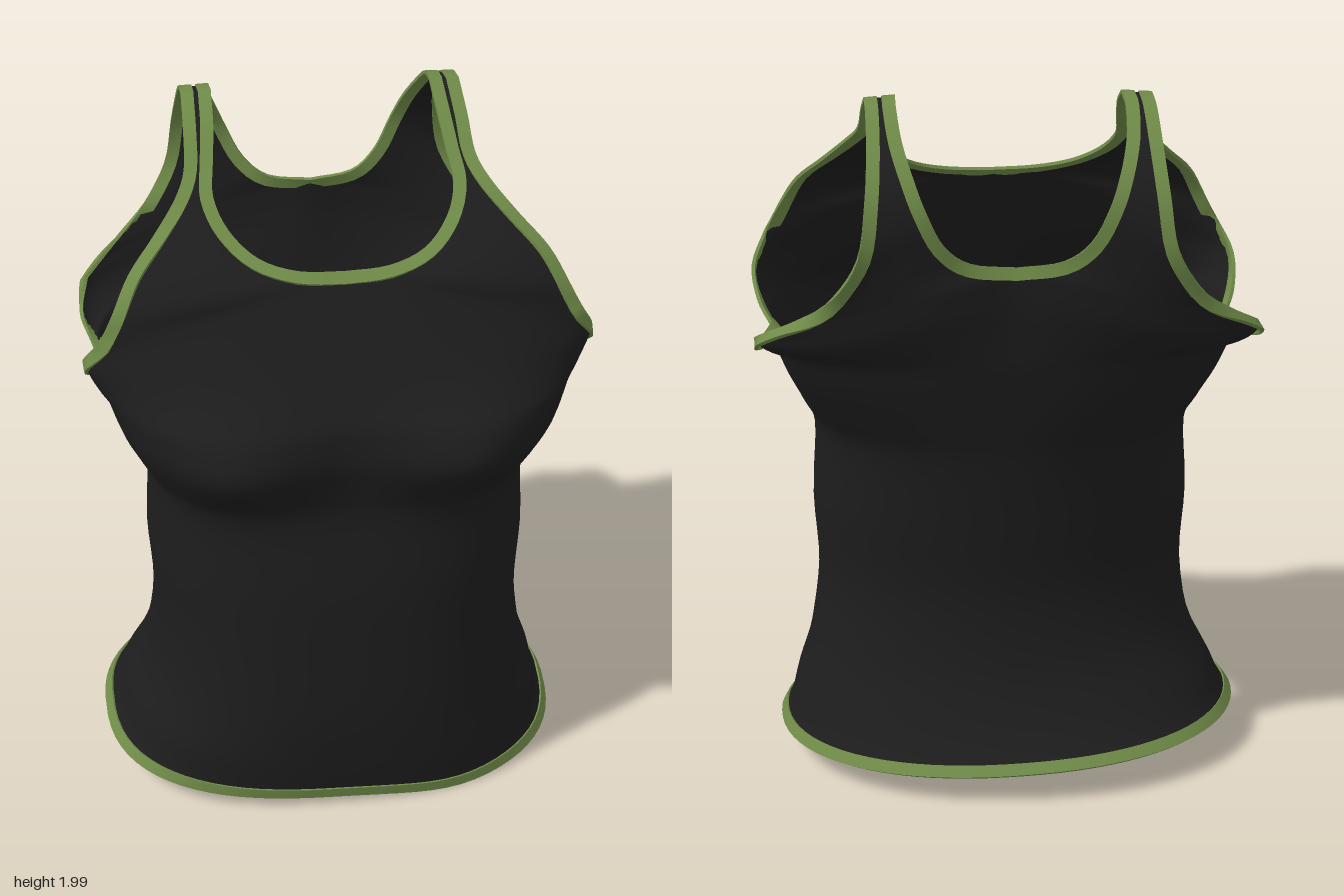
import * as THREE from 'three';
import { mergeGeometries, mergeVertices } from 'three/addons/utils/BufferGeometryUtils.js';

const COLS = 20, STEPS = 4, TRIM = 0.035, THICK = 0.005;

// Torso levels: height, half width, side seam z, front z, back z, front and back roundness
const torso = [
  [0, .67, .02, .45, -.475, 2.6, 2.2], [.07, .638, 0, .46, -.425, 2.6, 2.2],
  [.17, .612, 0, .47, -.375, 2.6, 2.2], [.33, .563, 0, .48, -.325, 2.5, 2.1],
  [.55, .53, .02, .475, -.3, 2.5, 2], [.78, .54, .02, .465, -.33, 2.5, 2],
  [1, .53, .03, .435, -.365, 2.7, 2.1], [1.1, .567, .03, .442, -.388, 3.1, 2.4],
  [1.2, .61, .02, .456, -.412, 3.5, 2.8], [1.305, .645, 0, .447, -.435, 3.6, 3.1],
];
// Upper rows: inner point (centre line or neckline), outer point (armhole), roundness, bulge
const frontChest = [
  [0, 1.305, .447, .645, 1.305, 0, 3.6, 0], [0, 1.41, .39, .677, 1.35, .08, 3.1, .01],
  [0, 1.52, .325, .69, 1.42, .18, 2.5, .025], [0, 1.67, .24, .652, 1.505, .247, 2, .04],
];
const frontStrap = [
  frontChest[3], [.12, 1.675, .235, .61, 1.585, .235, 1.8, .035],
  [.22, 1.7, .2, .56, 1.67, .185, 1.5, .02], [.29, 1.75, .13, .49, 1.74, .12, 1.3, .01],
  [.322, 1.81, .05, .425, 1.81, .05, 1, 0], [.314, 1.87, -.03, .393, 1.86, -.02, 1, 0],
  [.303, 1.94, -.11, .385, 1.93, -.1, 1, 0], [.298, 1.994, -.22, .38, 1.988, -.22, 1, 0],
];
const backChest = [
  [0, 1.305, -.435, .645, 1.305, 0, 3.1, 0], [0, 1.41, -.445, .667, 1.312, -.12, 3, -.015],
  [0, 1.5, -.452, .685, 1.34, -.22, 2.6, -.03], [0, 1.59, -.453, .662, 1.385, -.33, 2.1, -.04],
];
const backStrap = [
  backChest[3], [.12, 1.605, -.462, .57, 1.45, -.42, 1.7, -.03],
  [.19, 1.66, -.482, .48, 1.53, -.485, 1.4, -.01], [.235, 1.75, -.49, .415, 1.64, -.515, 1, 0],
  [.265, 1.83, -.46, .393, 1.78, -.49, 1, 0], [.29, 1.91, -.39, .383, 1.89, -.41, 1, 0],
  [.299, 1.975, -.3, .38, 1.968, -.31, 1, 0], frontStrap[7],
];
const torsoRows = (front) => torso.map(([y, w, s, f, b, nf, nb]) =>
  [0, y, front ? f : b, w, y, s, front ? nf : nb, 0]);

// One smooth grid of points between the inner and outer curves
function makeGrid(rows, side) {
  const curve = (k) => new THREE.CatmullRomCurve3(
    rows.map((r) => new THREE.Vector3(r[k], r[k + 1], r[k + 2] ?? 0)), false, 'catmullrom', 0.5);
  const inner = curve(0), outer = curve(3), shape = curve(6);
  const count = (rows.length - 1) * STEPS, grid = [];
  for (let i = 0; i <= count; i++) {
    const a = inner.getPoint(i / count), b = outer.getPoint(i / count), h = shape.getPoint(i / count);
    const line = [];
    for (let j = 0; j <= COLS; j++) {
      const s = j === COLS ? 1 : Math.sin(j / COLS * Math.PI / 2);
      const round = Math.pow(Math.max(0, 1 - Math.pow(s, h.x)), 1 / h.x);
      const p = new THREE.Vector3(a.x + (b.x - a.x) * s, a.y + (b.y - a.y) * s,
        b.z + (a.z - b.z) * round + h.y * 4 * s * (1 - s));
      // bust
      if (p.z > 0) p.z += .08 * Math.exp(-(((p.x - .32) / .19) ** 2) - (((p.y - 1.21) / .14) ** 2)) * (1 - s ** 8);
      p.x *= side;
      // uneven hem, lowest at the front left
      const k = Math.max(0, 1 - p.y / .4), z = Math.max(p.z, 0);
      p.y += k * (.1 - .03 * p.x - z * (.15 + .05 * Math.exp(-(((p.x - .35) / .2) ** 2))));
      p.x -= k * .02;
      line.push(p);
    }
    grid.push(line);
  }
  return grid;
}

function gridGeometry(grid, flip) {
  const pos = [], index = [], w = COLS + 1;
  grid.forEach((line) => line.forEach((p) => pos.push(p.x, p.y, p.z)));
  for (let i = 0; i < grid.length - 1; i++) {
    for (let j = 0; j < COLS; j++) {
      const a = i * w + j, b = a + 1, c = b + w, d = a + w;
      index.push(...(flip ? [a, c, b, a, d, c] : [a, b, c, a, c, d]));
    }
  }
  const g = new THREE.BufferGeometry();
  g.setAttribute('position', new THREE.Float32BufferAttribute(pos, 3));
  g.setIndex(index);
  return g;
}

// Thin binding that lies on the cloth along a closed edge; each item is [edge point, point inside]
function binding(items, cloth) {
  const loop = items.filter((e, i) => e[0].distanceTo(items[(i + 1) % items.length][0]) > 1e-4);
  const n = loop.length, pos = cloth.attributes.position, nor = cloth.attributes.normal;
  const at = (list, i) => list[(i + n) % n];
  const v = new THREE.Vector3();
  const raw = loop.map(([p]) => {
    let best = 0, dist = Infinity;
    for (let i = 0; i < pos.count; i++) {
      const d = v.fromBufferAttribute(pos, i).distanceToSquared(p);
      if (d < dist) { dist = d; best = i; }
    }
    return new THREE.Vector3().fromBufferAttribute(nor, best);
  });
  const normals = raw.map((_, i) => {
    const sum = new THREE.Vector3();
    for (let k = -2; k <= 2; k++) sum.add(at(raw, i + k));
    return sum.normalize();
  });
  let sign = 0;
  const inward = loop.map(([p, q], i) => {
    const t = at(loop, i + 1)[0].clone().sub(at(loop, i - 1)[0]);
    const d = new THREE.Vector3().crossVectors(normals[i], t).normalize();
    sign += d.dot(v.copy(q).sub(p).normalize());
    return d;
  });
  const reach = TRIM * Math.sign(sign);
  const corners = [[0, 1], [1, 1], [1, -1], [0, -1]].map(([d, o]) => loop.map(([p], i) =>
    p.clone().addScaledVector(inward[i], d * reach).addScaledVector(normals[i], o * THICK)));
  const strips = corners.map((c, k) => {
    const e = corners[(k + 1) % 4], xyz = [], index = [];
    for (let i = 0; i < n; i++) {
      xyz.push(...c[i].toArray(), ...e[i].toArray());
      const a = 2 * i, b = 2 * ((i + 1) % n);
      index.push(...(sign > 0 ? [a, b, b + 1, a, b + 1, a + 1] : [a, b + 1, b, a, a + 1, b + 1]));
    }
    const g = new THREE.BufferGeometry();
    g.setAttribute('position', new THREE.Float32BufferAttribute(xyz, 3));
    g.setIndex(index);
    g.computeVertexNormals();
    return g;
  });
  return mergeGeometries(strips);
}

export function createModel() {
  const group = new THREE.Group();
  const black = new THREE.MeshStandardMaterial({ color: 0x1d1d1d, side: THREE.DoubleSide });
  black.name = 'black cloth';
  const green = new THREE.MeshStandardMaterial({ color: 0x6f8a48, side: THREE.DoubleSide });
  green.name = 'green binding';
  const add = (name, geometry, material) => {
    const mesh = new THREE.Mesh(geometry, material);
    mesh.name = name;
    group.add(mesh);
  };

  // Cloth: front and back, left and right
  const parts = [], quarter = {};
  for (const side of [1, -1]) {
    for (const front of [true, false]) {
      const grids = [torsoRows(front), front ? frontChest : backChest, front ? frontStrap : backStrap]
        .map((rows) => makeGrid(rows, side));
      grids.forEach((g) => parts.push(gridGeometry(g, (side > 0) !== front)));
      quarter[(front ? 'front' : 'back') + side] = grids;
    }
  }
  const cloth = mergeVertices(mergeGeometries(parts), 1e-4);
  cloth.computeVertexNormals();
  add('topBody', cloth, black);

  // Edges of each quarter
  const hem = (q) => q[0][0].map((p, j) => [p, q[0][1][j]]);
  const neck = (q) => q[2].map((line) => [line[0], line[2]]);
  const arm = (q) => [...q[1], ...q[2]].map((line) => [line[COLS], line[COLS - 4]]);
  const { front1, back1 } = quarter, frontR = quarter['front-1'], backR = quarter['back-1'];
  const around = (edge) => [...edge(front1), ...edge(back1).reverse(),
    ...edge(backR), ...edge(frontR).reverse()];

  add('hemBinding', binding(around(hem), cloth), green);
  add('neckBinding', binding(around(neck), cloth), green);
  add('leftArmholeBinding', binding([...arm(front1), ...arm(back1).reverse()], cloth), green);
  add('rightArmholeBinding', binding([...arm(frontR), ...arm(backR).reverse()], cloth), green);
  return group;
}
